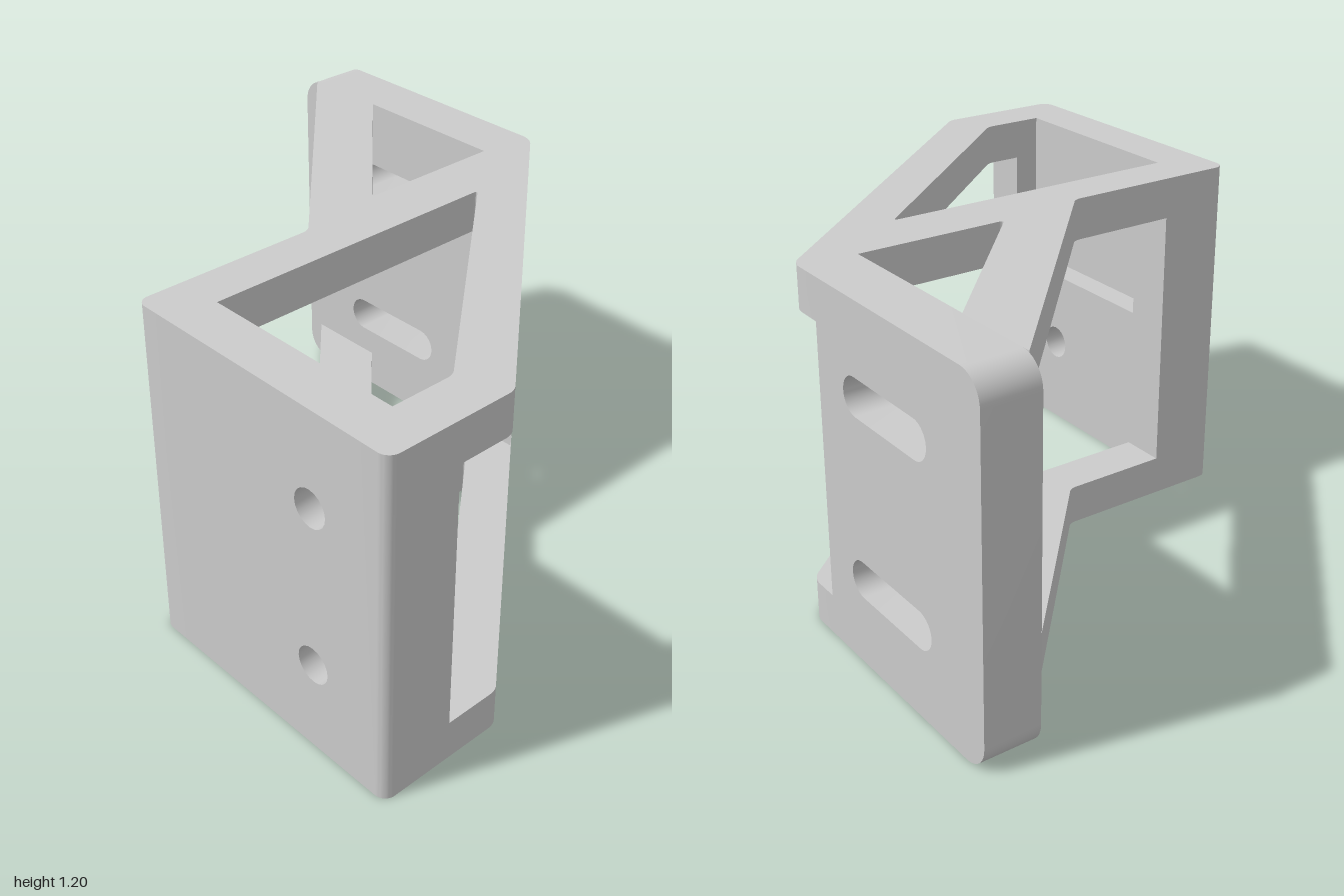
import * as THREE from 'three';
import { toCreasedNormals } from 'three/addons/utils/BufferGeometryUtils.js';

const H = 1.2, T = 0.14; // total height, thickness of the top and bottom frames

// Closed outline from [x, y, cornerRadius] points
function outline(points) {
  const shape = new THREE.Shape();
  const n = points.length;
  points.forEach(([x, y, r = 0], i) => {
    const p = new THREE.Vector2(x, y);
    const toward = (q) => new THREE.Vector2(q[0], q[1]).sub(p).normalize().multiplyScalar(r).add(p);
    const a = toward(points[(i + n - 1) % n]);
    const b = toward(points[(i + 1) % n]);
    if (i === 0) shape.moveTo(a.x, a.y);
    else shape.lineTo(a.x, a.y);
    // cubic handles approximating a circular fillet
    const k = 0.5523;
    if (r) {
      const c1 = a.clone().lerp(p, k), c2 = b.clone().lerp(p, k);
      shape.bezierCurveTo(c1.x, c1.y, c2.x, c2.y, b.x, b.y);
    }
  });
  shape.closePath();
  return shape;
}

export function createModel() {
  const group = new THREE.Group();
  const material = new THREE.MeshStandardMaterial({ color: 0xcccccc });

  function add(name, geometry) {
    const mesh = new THREE.Mesh(toCreasedNormals(geometry, 0.6), material);
    mesh.name = name;
    group.add(mesh);
  }
  const extrude = (shape, depth) =>
    new THREE.ExtrudeGeometry(shape, { depth, bevelEnabled: false, curveSegments: 10 });

  // Plan outline given as [x, z, radius], raised from y0 to y1
  function addPlan(name, points, y0, y1) {
    const shape = outline(points.map(([x, z, r]) => [x, -z, r]));
    add(name, extrude(shape, y1 - y0).rotateX(-Math.PI / 2).translate(0, y0, 0));
  }
  // Upright plate with its outline in x and y, from z0 to z1
  function addPlate(name, shape, z0, z1) {
    add(name, extrude(shape, z1 - z0).translate(0, 0, z0));
  }

  // Back plate with rounded outer corners and two slots
  const back = outline([[-1, 0, 0.09], [-0.16, 0], [-0.16, H], [-1, H, 0.09]]);
  for (const y of [0.3, 0.9]) {
    const r = 0.0625;
    const slot = new THREE.Path();
    slot.absarc(-0.365, y, r, -Math.PI / 2, Math.PI / 2, false);
    slot.absarc(-0.68, y, r, Math.PI / 2, Math.PI * 1.5, false);
    slot.closePath();
    back.holes.push(slot);
  }
  addPlate('backPlate', back, -0.83, -0.64);

  // Front panel with two round holes
  const front = outline([[0.12, 0], [0.84, 0], [0.84, H], [0.12, H]]);
  for (const y of [0.32, 0.88]) {
    const hole = new THREE.Path();
    hole.absarc(0.7, y, 0.0625, 0, Math.PI * 2, false);
    front.holes.push(hole);
  }
  addPlate('frontPanel', front, 0.665, 0.83);

  // Full-height posts at both ends of the front panel
  addPlan('frontPostRight', [[-0.04, 0.575], [0.12, 0.575], [0.12, 0.83], [-0.04, 0.83, 0.04]], 0, H);
  addPlan('frontPostLeft', [[0.84, 0.575], [1, 0.575], [1, 0.83, 0.04], [0.84, 0.83]], 0, H);

  // Stiffening rib behind the front panel, between the holes
  add('frontRib', new THREE.BoxGeometry(0.72, 0.12, 0.09).translate(0.48, 0.6, 0.62));

  // Slanted top and bottom frames joining the two plates
  const frame = [
    [-0.94, -0.64], [-0.635, -0.64], [-0.08, -0.12, 0.02], [-0.08, -0.64],
    [-0.16, -0.64], [-0.16, -0.83], [-0.04, -0.83, 0.035], [1, 0.38, 0.02],
    [1, 0.575], [0.84, 0.575], [0.84, 0.445, 0.02], [0.12, -0.4, 0.02],
    [0.12, 0.575], [-0.04, 0.575], [-0.04, 0.185, 0.02],
  ];
  addPlan('bottomFrame', frame, 0, T);
  addPlan('topFrame', frame, H - T, H);

  // Back post between the frames, with its outer corner notched out
  addPlan('backPost', [
    [-0.16, -0.69], [0.08, -0.69], [0.178, -0.575], [-0.08, -0.575], [-0.08, -0.64], [-0.16, -0.64],
  ], T, H - T);

  return group;
}
